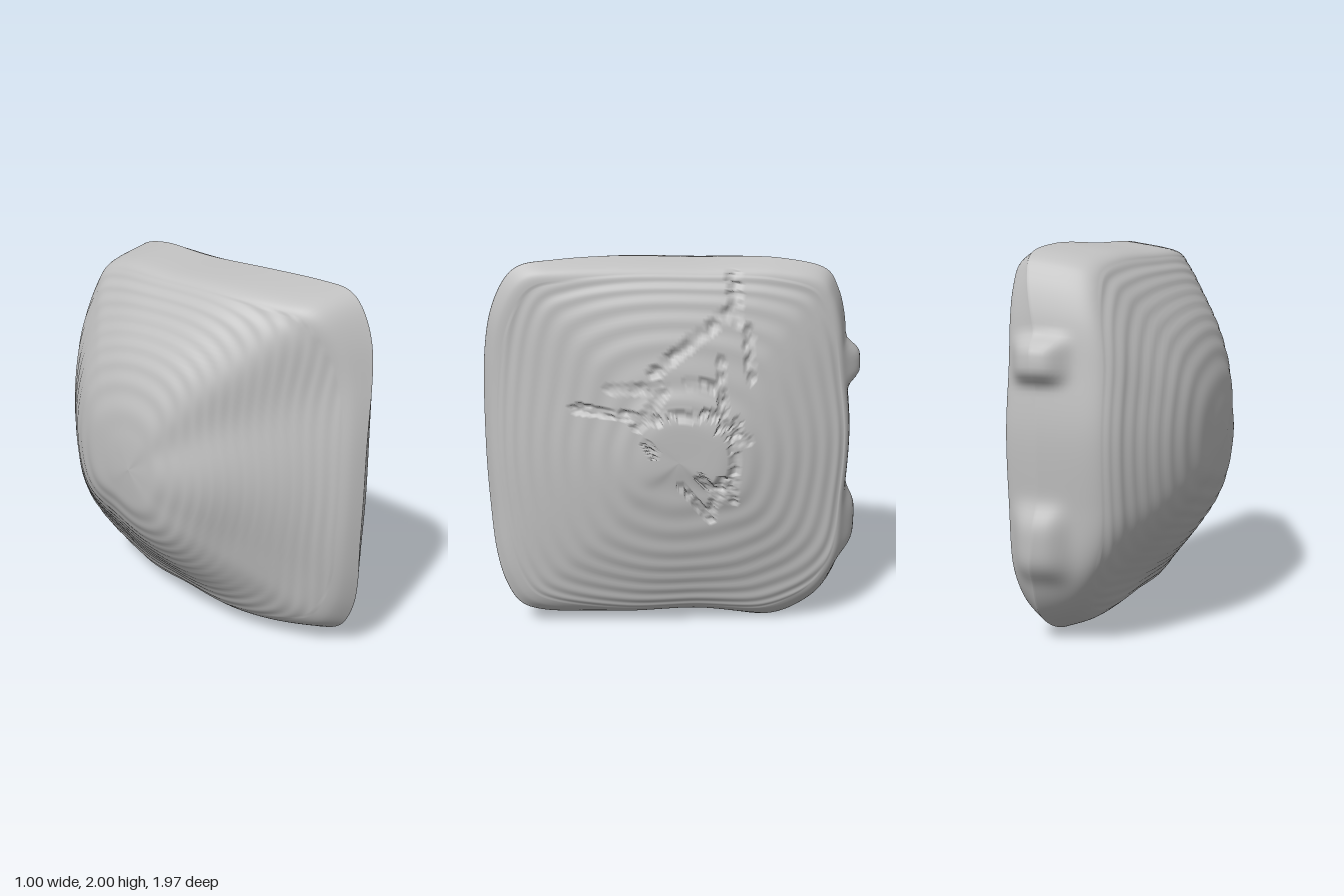
import * as THREE from 'three';

// Rim outline as (z, y): front, bottom, back, top
const OUTLINE = [
  [0.98, 1.05], [0.97, 0.7], [0.945, 0.43], [0.9, 0.26], [0.83, 0.14], [0.72, 0.085], [0.3, 0.03],
  [-0.1, 0.04], [-0.53, 0.01], [-0.73, 0.1], [-0.83, 0.2], [-0.91, 0.38], [-0.93, 0.75], [-0.94, 1.1],
  [-0.91, 1.4], [-0.88, 1.68], [-0.83, 1.84], [-0.77, 1.93], [-0.55, 1.985], [-0.1, 1.99],
  [0.3, 2.0], [0.6, 1.99], [0.76, 1.97], [0.83, 1.92], [0.91, 1.77], [0.96, 1.53],
];

// Cross-sections: x at each fraction of the way from the centre to the rim
const STEPS = [0, 0.2, 0.4, 0.6, 0.8, 0.9, 0.96, 1];
const RIGHT = {
  front: [0.5, 0.49, 0.45, 0.405, 0.35, 0.31, 0.27, 0.2],
  back: [0.5, 0.5, 0.47, 0.43, 0.38, 0.35, 0.31, 0.15],
  top: [0.5, 0.5, 0.46, 0.43, 0.38, 0.34, 0.3, 0.19],
  bottom: [0.5, 0.48, 0.45, 0.41, 0.35, 0.31, 0.25, 0.16],
};
const LEFT = {
  front: [-0.5, -0.47, -0.36, -0.18, 0, 0.08, 0.13, 0.2],
  back: [-0.5, -0.49, -0.46, -0.39, -0.27, -0.2, -0.1, 0.15],
  top: [-0.5, -0.49, -0.45, -0.37, -0.24, -0.16, -0.08, 0.19],
  bottom: [-0.5, -0.48, -0.41, -0.28, -0.12, -0.04, 0.04, 0.16],
};

// Carved scratches on the +x face, as (z, y) segments
const SCRATCHES = [
  [0.5, 1.27, 0.1, 1.22], [0.33, 1.37, 0.08, 1.38], [0.12, 1.45, -0.27, 1.75], [-0.29, 1.92, -0.3, 1.7],
  [-0.36, 1.65, -0.37, 1.42], [-0.22, 1.5, -0.24, 1.15], [-0.3, 1.2, -0.28, 0.78],
  [0.15, 1.1, -0.17, 0.68], [-0.08, 0.96, -0.2, 0.82], [0.2, 1.18, 0.05, 1.38], [0.03, 1.24, -0.2, 1.24],
  [-0.05, 1.4, -0.2, 1.38], [-0.17, 0.68, -0.23, 0.9], [-0.36, 1.1, -0.22, 1.16],
].map(([a, b, c, d]) => new THREE.Line3(new THREE.Vector3(0, b, a), new THREE.Vector3(0, d, c)));

const hash = (a, b) => {
  const v = Math.sin(a * 127.1 + b * 311.7) * 43758.5453;
  return v - Math.floor(v);
};

// Blocky pits that follow the scratches
function scratchDepth(z, y) {
  const p = new THREE.Vector3(0, y, z), q = new THREE.Vector3();
  const near = SCRATCHES.some((l) => l.closestPointToPoint(p, true, q).distanceTo(p) < 0.024);
  return near ? 0.025 * hash(Math.floor(z / 0.04), Math.floor(y / 0.04)) : 0;
}

// Soft steps, like the contour lines of a map
const terrace = (x, h, amount) => x - amount * (h / (2 * Math.PI)) * Math.sin((2 * Math.PI * x) / h);

// Lumps that push the back edge out
const swell = (v, centre, width) => Math.exp(-(((v - centre) / width) ** 4));
const backLumps = (x, y) =>
  swell(x, 0.15, 0.13) * (0.06 * swell(y, 0.55, 0.17) + 0.075 * swell(y, 1.44, 0.1));

function pillowGeometry(around, rows) {
  const curve = new THREE.CatmullRomCurve3(OUTLINE.map(([z, y]) => new THREE.Vector3(0, y, z)), true);
  const rim = curve.getSpacedPoints(around);
  const splines = (side) => Object.fromEntries(Object.entries(side).map(([k, xs]) =>
    [k, new THREE.SplineCurve(xs.map((x, i) => new THREE.Vector2(STEPS[i], x)))]));
  const right = splines(RIGHT), left = splines(LEFT);
  const cz = -0.01, cy = 1.0, pos = [], index = [];

  for (let r = 0; r <= rows * 2; r++) {
    const onRight = r <= rows;
    const t = (onRight ? r : rows * 2 - r) / rows;
    const side = onRight ? right : left;
    const [front, back, top, bottom] = ['front', 'back', 'top', 'bottom'].map((n) => side[n].getPoint(t));
    const s = Math.min(1, Math.max(0, front.x));
    for (let i = 0; i < around; i++) {
      const dz = rim[i].z - cz, dy = rim[i].y - cy, len = Math.hypot(dz, dy);
      // Contours are round near the centre and square at the rim
      const k = s * THREE.MathUtils.lerp(0.97 / len, 1, s ** (onRight ? 2 : 2.5));
      const y = cy + dy * k;
      let z = cz + dz * k;
      const wz = dz ** 4, wy = dy ** 4;
      let x = ((dz > 0 ? front.y : back.y) * wz + (dy > 0 ? top.y : bottom.y) * wy) / (wz + wy);
      if (s < 0.93) x = onRight ? terrace(x, 0.024, 0.7) : terrace(x, 0.04, 0.4);
      // The rim bends towards the +x face at the four corners
      const corner = THREE.MathUtils.smoothstep(len, 0.97, 1.24);
      x += 0.08 * corner * s ** (onRight ? 20 : 4);
      if (onRight && s > 0.12) x -= scratchDepth(z, y);
      if (dz < 0 && s > 0.9) z -= backLumps(x, y);
      pos.push(x, y, z);
    }
  }
  for (let r = 0; r < rows * 2; r++) {
    for (let i = 0; i < around; i++) {
      const j = (i + 1) % around;
      const a = r * around + i, b = a + around, c = (r + 1) * around + j, d = r * around + j;
      if (r < rows * 2 - 1) index.push(a, b, c);
      if (r > 0 && r < rows * 2 - 1) index.push(a, c, d);
      if (r === rows * 2 - 1) index.push(a, b, d);
    }
  }
  const geo = new THREE.BufferGeometry();
  geo.setAttribute('position', new THREE.Float32BufferAttribute(pos, 3));
  geo.setIndex(index);
  geo.computeVertexNormals();
  return geo;
}

export function createModel() {
  const group = new THREE.Group();
  group.name = 'carvedStone';
  const stone = new THREE.MeshStandardMaterial({ color: 0xc0c0c0 });
  stone.name = 'stone grey';

  const body = new THREE.Mesh(pillowGeometry(280, 90), stone);
  body.name = 'stoneBody';
  group.add(body);
  return group;
}
